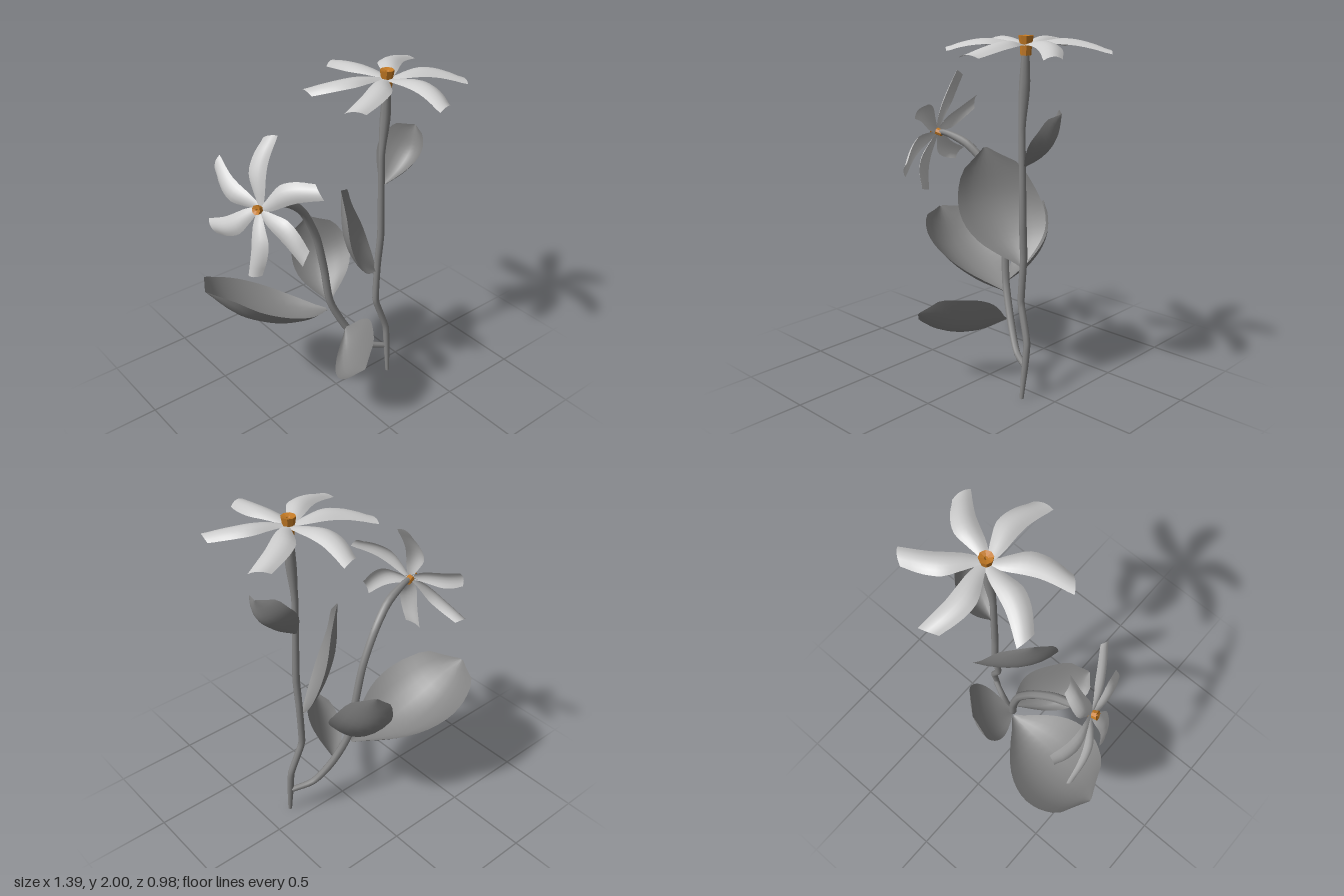
import * as THREE from 'three';

const V = (a) => new THREE.Vector3(...a);
const light = new THREE.MeshStandardMaterial({ color: 0xcccccc, side: THREE.DoubleSide });
const dark = new THREE.MeshStandardMaterial({ color: 0x868686, side: THREE.DoubleSide });
const orange = new THREE.MeshStandardMaterial({ color: 0xc47a24, flatShading: true, side: THREE.DoubleSide });

function mesh(name, geometry, material) {
  const m = new THREE.Mesh(geometry, material);
  m.name = name;
  return m;
}

// Curved sheet: place(s, t) with s from -1 to 1 across and t from 0 to 1 along
function sheet(across, along, place) {
  const g = new THREE.PlaneGeometry(2, 1, across, along);
  const p = g.attributes.position;
  for (let i = 0; i < p.count; i++) {
    const v = place(p.getX(i), p.getY(i) + 0.5);
    p.setXYZ(i, v.x, v.y, v.z);
  }
  g.computeVertexNormals();
  return g;
}

// Smooth scalar profile sampled over 0..1
function profile(values) {
  const c = new THREE.SplineCurve(values.map((v, i) => new THREE.Vector2(i, v)));
  return (t) => c.getPoint(t).y;
}

// Tube whose radius follows a profile; low tension keeps the kinks of the path
function stem(name, tension, points, radii) {
  const curve = new THREE.CatmullRomCurve3(points.map(V), false, 'catmullrom', tension);
  const segments = 48, sides = 8;
  const radius = profile(radii);
  const g = new THREE.TubeGeometry(curve, segments, 1, sides);
  const p = g.attributes.position, v = new THREE.Vector3();
  for (let i = 0; i < p.count; i++) {
    const t = Math.floor(i / (sides + 1)) / segments;
    const c = curve.getPointAt(t);
    v.fromBufferAttribute(p, i).sub(c).multiplyScalar(radius(t)).add(c);
    p.setXYZ(i, v.x, v.y, v.z);
  }
  return mesh(name, g, dark);
}

// Cupped leaf: midrib path plus the offsets of its two edges at the widest place
const leafWidth = profile([0.05, 0.38, 0.7, 0.91, 1, 0.98, 0.87, 0.63, 0.04]);
function leaf(name, midrib, edgeA, edgeB) {
  const curve = new THREE.CatmullRomCurve3(midrib.map(V));
  const side = V(edgeA).sub(V(edgeB)).multiplyScalar(0.5);
  const lift = V(edgeA).add(V(edgeB)).multiplyScalar(0.5);
  return mesh(name, sheet(8, 16, (s, t) => {
    const w = leafWidth(t);
    return curve.getPoint(t).addScaledVector(side, w * s).addScaledVector(lift, w * s * s);
  }), dark);
}

// Swept, crowned petal with a slanted tip, lying along -z
const leftX = profile([-0.022, -0.067, -0.11, -0.115, -0.1, -0.075]);
const rightX = profile([0.022, 0.026, 0.018, 0.012, 0.018, 0.028]);
const petalY = profile([0.005, 0.025, 0.036, 0.028, 0.008, -0.018]);
const crown = profile([0.004, 0.016, 0.026, 0.026, 0.022, 0.016]);
const petalGeometry = sheet(6, 12, (s, t) => new THREE.Vector3(
  THREE.MathUtils.lerp(leftX(t), rightX(t), (s + 1) / 2),
  petalY(t) - crown(t) * s * s,
  -(0.02 + 0.42 * t + (0.018 * s - 0.008 * s * s) * t * t)));

// Six petals, each with a small turn in degrees and a length, around an eight-sided centre
const petalLengths = [1, 1, 0.98, 0.98, 0.95, 0.98];
function flower(name, centreSize, turns) {
  const g = new THREE.Group();
  g.name = name;
  turns.forEach((turn, k) => {
    const petal = mesh('petal', petalGeometry, light);
    petal.rotation.y = THREE.MathUtils.degToRad(60 * k + turn);
    petal.scale.z = petalLengths[k];
    g.add(petal);
  });
  const outline = [[0, -0.05], [0.028, -0.05], [0.031, 0], [0.039, 0.05], [0.01, 0.042], [0, 0.025]];
  const centre = mesh('flowerCentre', new THREE.LatheGeometry(outline.map((p) => new THREE.Vector2(...p)), 8), orange);
  centre.scale.setScalar(centreSize);
  g.add(centre);
  return g;
}

export function createModel() {
  const model = new THREE.Group();
  model.name = 'floweringPlant';

  // Stems
  model.add(stem('mainStem', 0.15, [
    [0.34, 0, 0.1], [0.345, 0.32, 0.065], [0.276, 0.54, 0.04], [0.288, 0.8, 0.035],
    [0.292, 1.0, 0.05], [0.285, 1.3, 0.05], [0.28, 1.52, 0.05], [0.296, 1.75, 0.052], [0.3, 1.93, 0.052],
  ], [0.012, 0.019, 0.02, 0.02, 0.02, 0.021, 0.02, 0.019, 0.019, 0.029, 0.02]));
  model.add(stem('sideStem', 0.4, [
    [0.34, 0.18, 0.07], [0.22, 0.22, 0.01], [0.12, 0.36, -0.05], [0.035, 0.56, -0.1], [0.005, 0.8, -0.12],
    [-0.045, 1.03, -0.123], [-0.14, 1.23, -0.115], [-0.26, 1.345, -0.085], [-0.4, 1.395, -0.058], [-0.46, 1.397, -0.046],
  ], [0.017, 0.021, 0.023, 0.023, 0.023, 0.023, 0.023, 0.024, 0.025, 0.016]));

  // Leaves
  model.add(leaf('wideLowerLeaf',
    [[0.02, 0.5, -0.11], [-0.18, 0.505, -0.17], [-0.38, 0.565, -0.21], [-0.55, 0.67, -0.24], [-0.7, 0.85, -0.28]],
    [0.01, 0.15, 0.27], [0.01, 0.13, -0.275]));
  model.add(leaf('frontLowerLeaf',
    [[0.1, 0.37, -0.03], [0.03, 0.335, 0.1], [-0.06, 0.36, 0.25], [-0.14, 0.47, 0.43]],
    [0.12, 0.21, 0.02], [-0.145, -0.03, 0.02]));
  model.add(leaf('largeUpperLeaf',
    [[0.28, 0.75, 0.035], [0.14, 0.9, 0.02], [0.035, 1.1, 0.02], [0.0, 1.38, 0.04]],
    [-0.09, 0.0, 0.19], [0.2, 0.05, -0.16]));
  model.add(leaf('backLeaf',
    [[0.03, 0.56, -0.1], [0.08, 0.65, -0.23], [0.11, 0.79, -0.33], [0.08, 1.01, -0.375]],
    [0.14, 0.1, 0.12], [-0.16, 0.03, -0.05]));
  model.add(leaf('smallTopLeaf',
    [[0.29, 1.31, 0.04], [0.42, 1.39, 0.045], [0.5, 1.48, 0.045], [0.535, 1.62, 0.04]],
    [-0.02, 0.06, 0.12], [-0.1, 0.1, -0.115]));

  // Flower facing up on the main stem
  const topFlower = flower('topFlower', 1, [0, 3, -6, -2, -4, 1]);
  topFlower.position.set(0.3, 1.95, 0.05);
  model.add(topFlower);

  // Flower facing sideways on the side stem
  const sideFlower = flower('sideFlower', 0.8, [0, 2, -3, -2, -4, -5]);
  const axis = V([-0.92, 0.3, 0.264]).normalize();
  const x = V([0.15, 0.36, -0.05]).cross(axis).normalize();
  const z = new THREE.Vector3().crossVectors(x, axis);
  sideFlower.quaternion.setFromRotationMatrix(new THREE.Matrix4().makeBasis(x, axis, z));
  sideFlower.position.set(-0.469, 1.4, -0.044);
  sideFlower.scale.setScalar(0.87);
  model.add(sideFlower);

  return model;
}
